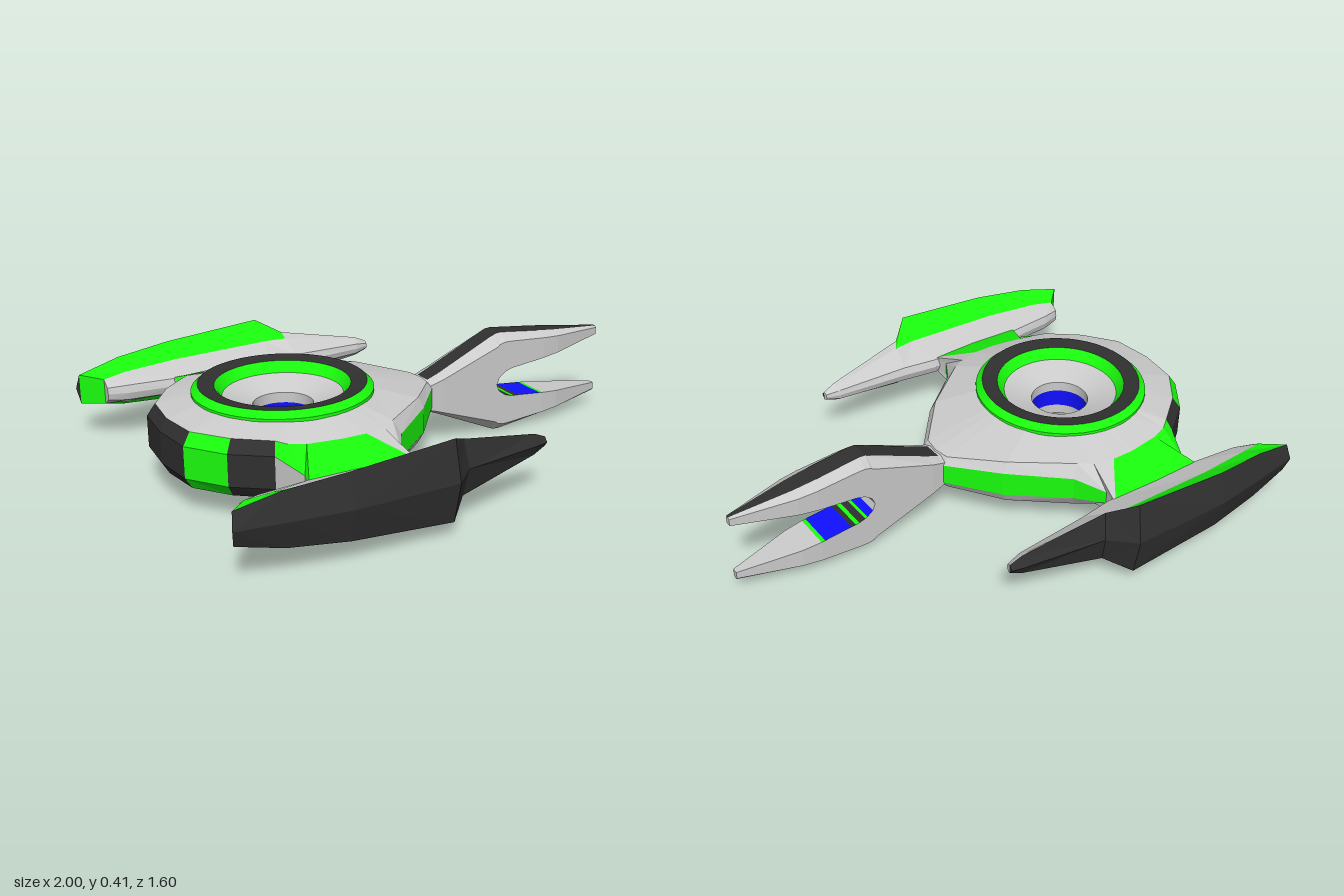
import * as THREE from 'three';

const MID = 0.205; // height of the horizontal symmetry plane
const DISC_X = -0.455; // centre of the round hull
const COLORS = { grey: 0xcccccc, green: 0x1aff0d, black: 0x303030, blue: 0x1010ff };
const materials = {};
for (const key in COLORS) {
  materials[key] = new THREE.MeshStandardMaterial({ color: COLORS[key], flatShading: true, side: THREE.DoubleSide });
}
const smoothMaterials = {};
for (const key in COLORS) {
  smoothMaterials[key] = new THREE.MeshStandardMaterial({ color: COLORS[key], side: THREE.DoubleSide });
}

// Skins a grid of [x, y, z] points, mirrored in y and across the given z signs.
// colorOf(row, column) picks the colour of a cell, or null to leave it out.
function skin(name, rows, colorOf, zSigns) {
  const cells = {};
  for (let i = 0; i < rows.length - 1; i++) {
    for (let j = 0; j < rows[i].length - 1; j++) {
      const color = colorOf(i, j);
      if (!color) continue;
      const out = (cells[color] ??= []);
      const [a, b, c, d] = [rows[i][j], rows[i][j + 1], rows[i + 1][j + 1], rows[i + 1][j]];
      for (const sy of [1, -1]) for (const sz of zSigns) {
        const order = sy * sz > 0 ? [a, b, c, a, c, d] : [a, c, b, a, d, c];
        for (const p of order) out.push(p[0], MID + sy * p[1], sz * p[2]);
      }
    }
  }
  const group = new THREE.Group();
  group.name = name;
  for (const color in cells) {
    const geo = new THREE.BufferGeometry();
    geo.setAttribute('position', new THREE.Float32BufferAttribute(cells[color], 3));
    geo.computeVertexNormals();
    const mesh = new THREE.Mesh(geo, materials[color]);
    mesh.name = `${name} ${color} panels`;
    group.add(mesh);
  }
  return group;
}

// Piecewise linear curve through [x, value] pairs
function along(points, x) {
  for (let i = 1; i < points.length; i++) {
    const [x0, v0] = points[i - 1], [x1, v1] = points[i];
    if (x <= x1) return THREE.MathUtils.lerp(v0, v1, Math.max(0, (x - x0) / (x1 - x0)));
  }
  return points[points.length - 1][1];
}

// Round hull with stubs that reach the wings and the tail
function createHull() {
  // edge x, z, half height; shoulder x, z, half height; colours of bevel and rim up to the next point
  const outline = [
    [0.16, 0, 0.045, 0.14, 0, 0.07, 'grey', 'green'],
    [0.15, 0.07, 0.04, 0.13, 0.065, 0.07, 'grey', 'green'],
    [0, 0.25, 0.05, -0.02, 0.24, 0.09, 'grey', 'green'],
    [-0.2, 0.42, 0.045, -0.225, 0.4, 0.095, 'grey', 'green'],
    [-0.265, 0.53, 0.025, -0.28, 0.43, 0.09, 'grey', 'grey'],
    [-0.25, 0.6, 0.025, -0.36, 0.45, 0.09, 'green', 'grey'],
    [-0.45, 0.6, 0.03, -0.45, 0.45, 0.09, 'green', 'grey'],
    [-0.66, 0.6, 0.025, -0.58, 0.43, 0.09, 'green', 'grey'],
    [-0.64, 0.53, 0.025, -0.64, 0.41, 0.095, 'green', 'grey'],
    [-0.69, 0.41, 0.06, -0.675, 0.385, 0.105, 'black', 'black'],
    [-0.82, 0.31, 0.06, -0.795, 0.288, 0.105, 'green', 'green'],
    [-0.92, 0.17, 0.06, -0.89, 0.16, 0.105, 'black', 'black'],
    [-0.937, 0, 0.06, -0.91, 0, 0.105, 'black', 'black'],
  ];
  const rows = outline.map(([ex, ez, eh, sx, sz, sh]) => {
    const a = Math.atan2(sz, sx - DISC_X);
    const ring = (r, h) => [DISC_X + r * Math.cos(a), h, r * Math.sin(a)];
    return [ring(0.315, 0.135), [sx, sh, sz], [ex, eh, ez], [ex, 0, ez]];
  });
  return skin('hull', rows, (i, j) => (j === 0 ? 'grey' : outline[i][5 + j]), [1, -1]);
}

// Raised rings, the bowl inside them and the lining of the through hole
function createRings() {
  const group = new THREE.Group();
  group.name = 'centreRings';
  const bands = [
    ['outerRim', 'green', 0.335, 0.11, 0.335, 0.14],
    ['outerRimBevel', 'green', 0.335, 0.14, 0.31, 0.163],
    ['darkRing', 'black', 0.31, 0.163, 0.25, 0.155],
    ['innerRing', 'green', 0.25, 0.155, 0.222, 0.115],
    ['bowl', 'grey', 0.222, 0.115, 0.112, 0.075],
    ['holeWall', 'grey', 0.112, 0.075, 0.112, 0.035],
    ['holeLight', 'blue', 0.112, 0.035, 0.112, 0],
  ];
  for (const side of [1, -1]) {
    for (const [name, color, r0, h0, r1, h1] of bands) {
      const pts = [new THREE.Vector2(r0, side * h0), new THREE.Vector2(r1, side * h1)];
      if (side > 0) pts.reverse();
      pts.reverse();
      const mesh = new THREE.Mesh(new THREE.LatheGeometry(pts, 48), smoothMaterials[color]);
      mesh.name = (side > 0 ? 'top ' : 'bottom ') + name;
      mesh.position.set(DISC_X, MID, 0);
      group.add(mesh);
    }
  }
  return group;
}

// Blade-like wing: dark outer face, green slope, grey inner slope
function createWing(name, zSign) {
  const rows = [
    [[-1, 0, 0.745], [-0.99, 0.06, 0.725], [-0.915, 0.05, 0.65], [-0.915, 0.025, 0.615], [-0.915, 0, 0.61]],
    [[-0.82, 0, 0.772], [-0.82, 0.1, 0.745], [-0.82, 0.062, 0.665], [-0.84, 0.03, 0.595], [-0.84, 0, 0.587]],
    [[-0.6, 0, 0.8], [-0.6, 0.122, 0.77], [-0.6, 0.07, 0.685], [-0.64, 0.03, 0.575], [-0.64, 0, 0.565]],
    [[-0.2, 0, 0.8], [-0.205, 0.152, 0.77], [-0.2, 0.078, 0.69], [-0.24, 0.03, 0.575], [-0.24, 0, 0.565]],
    [[-0.11, 0, 0.715], [-0.12, 0.105, 0.692], [-0.11, 0.08, 0.675], [-0.1, 0.03, 0.595], [-0.1, 0, 0.585]],
    [[0.21, 0, 0.67], [0.21, 0.04, 0.65], [0.21, 0.035, 0.64], [0.2, 0.02, 0.615], [0.2, 0, 0.61]],
    [[0.26, 0, 0.66], [0.26, 0.018, 0.645], [0.26, 0.017, 0.64], [0.258, 0.01, 0.63], [0.258, 0, 0.628]],
  ];
  // close both ends by collapsing the section onto its middle line
  const flat = (row) => row.map(([x, , z]) => [x, 0, z]);
  const closed = [flat(rows[0]), ...rows, flat(rows[rows.length - 1])];
  const colorOf = (i, j) => (j === 0 ? 'black' : j === 1 && i < 5 ? 'green' : 'grey');
  return skin(name, closed, colorOf, [zSign]);
}

// Tail that splits into an upper and a lower prong, with light strips in the fork
function createTail() {
  const xs = [0.08, 0.15, 0.2, 0.455, 0.465, 0.49, 0.5, 0.525, 0.54, 0.56, 0.67, 0.685, 0.76, 1];
  const strips = { 4: 'blue', 5: 'green', 6: 'black', 7: 'green', 8: 'black', 9: 'blue', 10: 'green' };
  const outerY = [[0.08, 0.06], [0.15, 0.065], [0.2, 0.085], [0.465, 0.203], [0.49, 0.205], [0.76, 0.172], [1, 0.143]];
  const halfWidth = [[0.08, 0.06], [0.15, 0.07], [0.2, 0.075], [0.685, 0.075], [0.76, 0.068], [1, 0.012]];
  const innerY = (x) => {
    if (x <= 0.455) return 0;
    if (x < 0.56) return 0.062 * Math.sqrt(1 - ((0.56 - x) / 0.105) ** 2);
    return along([[0.56, 0.062], [1, 0.108]], x);
  };
  const rows = xs.map((x) => {
    const o = along(outerY, x), w = along(halfWidth, x), n = innerY(x);
    return [[x, n, 0], [x, n, w], [x, o - (o - n) * 0.2, w], [x, o, w * 0.5], [x, o, 0]];
  });
  // prong tips
  rows.push(rows[rows.length - 1].map(([x, y]) => [x, y, 0]));
  const colorOf = (i, j) => {
    if (j === 0) return i < 3 ? null : strips[i] ?? 'grey';
    return j === 3 && i > 0 ? 'black' : 'grey';
  };
  return skin('forkedTail', rows, colorOf, [1, -1]);
}

export function createModel() {
  const model = new THREE.Group();
  model.name = 'spacecraft';
  model.add(createHull(), createRings(), createWing('frontWing', 1), createWing('backWing', -1), createTail());
  return model;
}
